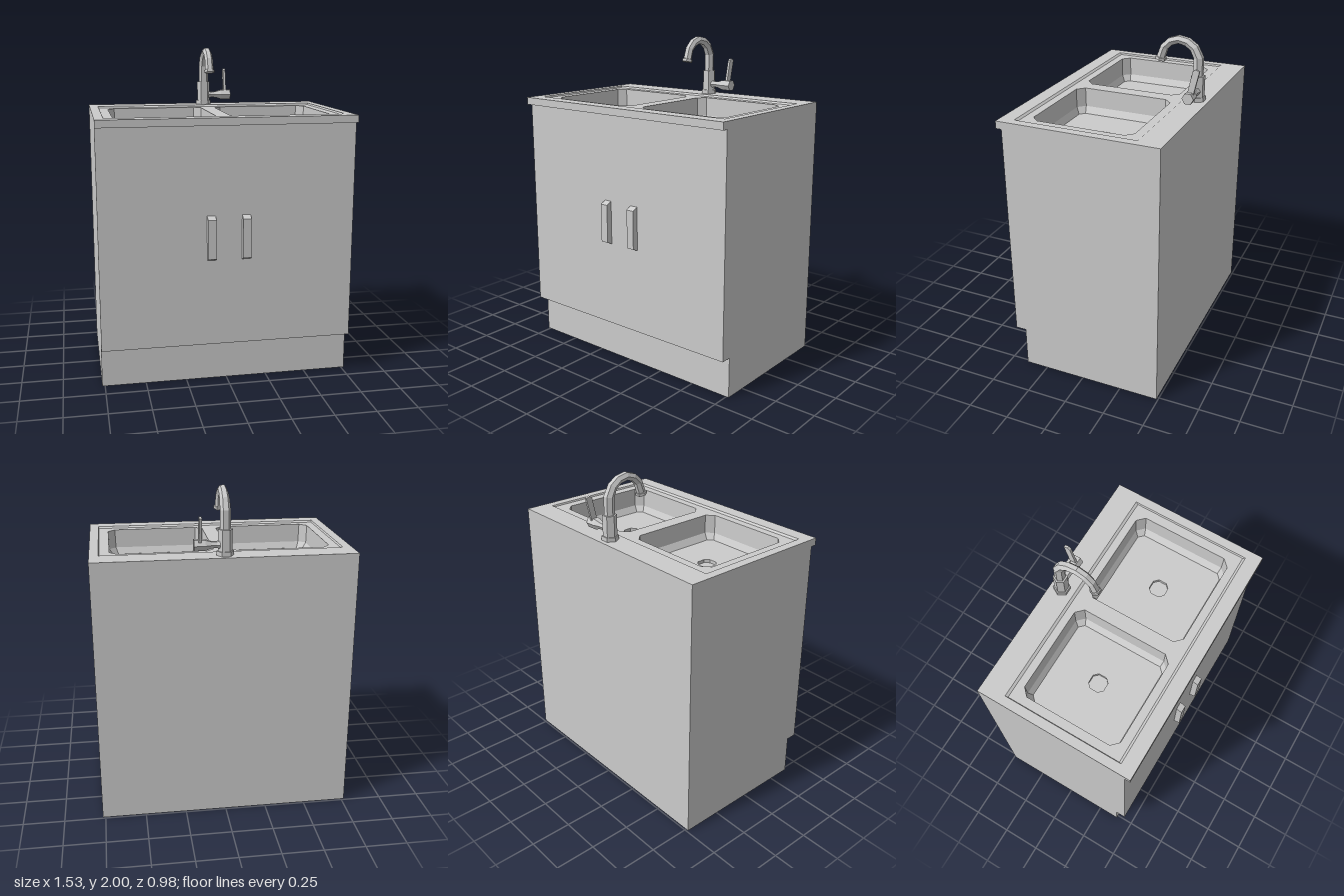
import * as THREE from 'three';

const grey = new THREE.MeshStandardMaterial({ color: 0xcccccc, flatShading: true });
const V = (x, y, z) => new THREE.Vector3(x, y, z);

function add(parent, name, geometry) {
  const mesh = new THREE.Mesh(geometry, grey);
  mesh.name = name;
  parent.add(mesh);
  return mesh;
}

// Rectangle in the ground plane, with cut corners if c > 0
function ring(x0, x1, z0, z1, y, c = 0) {
  if (!c) return [V(x0, y, z1), V(x1, y, z1), V(x1, y, z0), V(x0, y, z0)];
  return [
    V(x0 + c, y, z1), V(x1 - c, y, z1), V(x1, y, z1 - c), V(x1, y, z0 + c),
    V(x1 - c, y, z0), V(x0 + c, y, z0), V(x0, y, z0 + c), V(x0, y, z1 - c),
  ];
}

// Skin through cross-sections, optionally closing the last one
function loft(rings, cap) {
  const pts = [];
  const n = rings[0].length;
  for (let k = 0; k < rings.length - 1; k++) {
    for (let i = 0; i < n; i++) {
      const j = (i + 1) % n;
      const [a, b, c, d] = [rings[k][i], rings[k][j], rings[k + 1][j], rings[k + 1][i]];
      pts.push(a, b, c, a, c, d);
    }
  }
  if (cap) {
    const last = rings[rings.length - 1];
    for (let i = 1; i < n - 1; i++) pts.push(last[0], last[i], last[i + 1]);
  }
  const g = new THREE.BufferGeometry().setFromPoints(pts);
  g.computeVertexNormals();
  return g;
}

// Flat outline with holes, from ground-plane rings
function plan(outer, holes = []) {
  const flat = (r) => r.map((p) => new THREE.Vector2(p.x, -p.z));
  const s = new THREE.Shape(flat(outer));
  holes.forEach((h) => s.holes.push(new THREE.Path(flat(h))));
  return s;
}

function slab(shape, y, height) {
  return new THREE.ExtrudeGeometry(shape, { depth: height, bevelEnabled: false })
    .rotateX(-Math.PI / 2).translate(0, y, 0);
}

// Side profile of [z, y] points, extruded across x
function across(profile, x, width) {
  const s = new THREE.Shape(profile.map(([z, y]) => new THREE.Vector2(-z, y)));
  return new THREE.ExtrudeGeometry(s, { depth: width, bevelEnabled: false })
    .rotateY(Math.PI / 2).translate(x - width / 2, 0, 0);
}

function hexPost(r, y0, y1) {
  return new THREE.CylinderGeometry(r, r, y1 - y0, 6)
    .rotateY(Math.PI / 6).translate(0, (y0 + y1) / 2, -0.42);
}

export function createModel() {
  const model = new THREE.Group();
  model.name = 'sinkCabinet';
  const L = -0.767, R = 0.767, back = -0.49;

  // Cabinet: recessed plinth and hollow carcass
  add(model, 'plinth', slab(plan(ring(L, R, back, 0.39, 0)), 0, 0.25));
  add(model, 'carcass', slab(
    plan(ring(L, R, back, 0.455, 0), [ring(L + 0.03, R - 0.03, back + 0.03, 0.425, 0)]), 0.25, 1.33));

  // Door handles with chamfered ends
  for (const [name, x] of [['rightHandle', -0.105], ['leftHandle', 0.105]]) {
    add(model, name, across([[0.45, 0.775], [0.492, 0.793], [0.492, 1.03], [0.45, 1.05]], x, 0.05));
  }

  // Worktop frame around a shallow tray
  const top = 1.625, deckY = 1.615;
  const trayTop = ring(-0.713, 0.713, -0.341, 0.402, top);
  const trayDeck = ring(-0.708, 0.708, -0.326, 0.388, deckY);
  add(model, 'worktopFrame', slab(plan(ring(L, R, back, 0.49, 0), [trayTop]), 1.58, 0.045));
  add(model, 'trayEdge', loft([trayTop, trayDeck]));

  // Two basins, each with a sloped foot and a sunken drain
  const rims = [];
  for (const [name, dx] of [['rightBasin', 0], ['leftBasin', 0.698]]) {
    const x0 = -0.655 + dx, x1 = -0.047 + dx, d = -0.343 + dx;
    const rim = ring(x0, x1, -0.28, 0.338, deckY, 0.043);
    rims.push(rim);
    add(model, name, loft([
      rim,
      ring(x0 + 0.003, x1 - 0.003, -0.277, 0.335, 1.5, 0.043),
      ring(x0 + 0.03, x1 - 0.03, -0.255, 0.315, 1.46, 0.03),
      ring(d - 0.05, d + 0.05, -0.022, 0.078, 1.46, 0.025),
      ring(d - 0.05, d + 0.05, -0.022, 0.078, 1.44, 0.025),
    ], true));
  }
  add(model, 'trayDeck', new THREE.ShapeGeometry(plan(trayDeck, rims))
    .rotateX(-Math.PI / 2).translate(0, deckY, 0));

  // Tap
  const tap = new THREE.Group();
  tap.name = 'tap';
  model.add(tap);
  add(tap, 'tapBase', hexPost(0.05, 1.62, 1.65));
  add(tap, 'tapBody', hexPost(0.042, 1.65, 1.775));

  // Swan-neck spout: hexagonal sections along [z, y, radius] points
  const path = [
    [-0.42, 1.76, 0.031], [-0.42, 1.88, 0.031], [-0.392, 1.935, 0.029], [-0.35, 1.966, 0.027],
    [-0.295, 1.977, 0.026], [-0.245, 1.96, 0.026], [-0.208, 1.924, 0.026], [-0.187, 1.862, 0.027],
    [-0.187, 1.861, 0.034], [-0.183, 1.845, 0.034],
  ];
  const sections = path.map(([z, y, r], i) => {
    const a = path[Math.max(i - 1, 0)], b = path[Math.min(i + 1, path.length - 1)];
    const t = V(0, b[1] - a[1], b[0] - a[0]).normalize();
    return Array.from({ length: 6 }, (_, k) => {
      const s = r * Math.sin(k * Math.PI / 3);
      return V(r * Math.cos(k * Math.PI / 3), y + t.z * s, z - t.y * s);
    });
  });
  add(tap, 'spout', loft(sections, true));

  // Side valve and lever
  const valve = [[0.027, 0.03], [0.02, 0.05], [0.022, 0.08], [0.034, 0.115], [0.036, 0.18], [0, 0.18]];
  add(tap, 'valve', new THREE.LatheGeometry(valve.map(([r, x]) => new THREE.Vector2(r, x)), 6)
    .rotateZ(-Math.PI / 2).translate(0, 1.687, -0.42));
  add(tap, 'lever', across(
    [[-0.405, 1.7], [-0.437, 1.845], [-0.452, 1.857], [-0.477, 1.847], [-0.443, 1.7]], 0.146, 0.015));

  return model;
}
